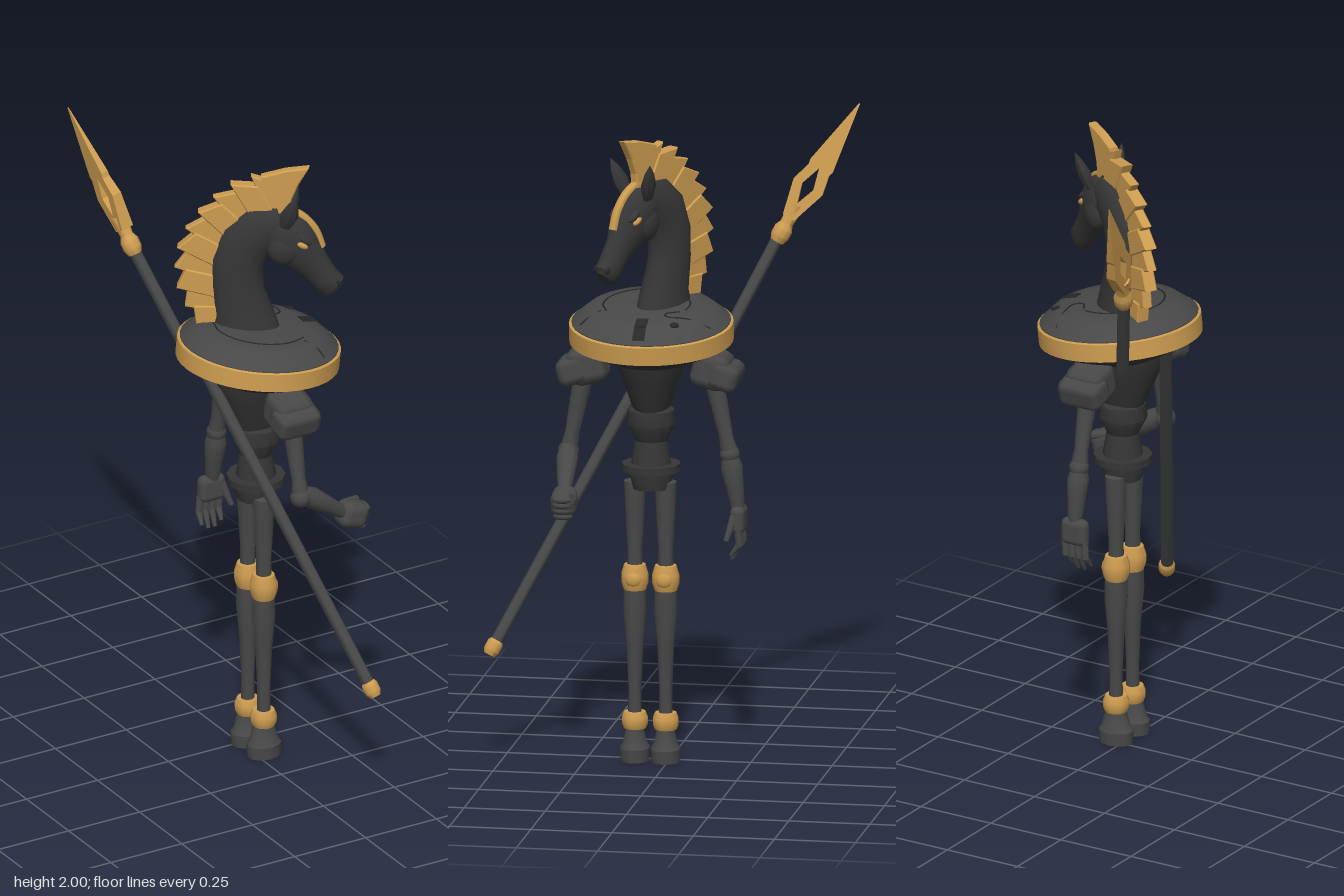
import * as THREE from 'three';
import { toCreasedNormals } from 'three/addons/utils/BufferGeometryUtils.js';
import { RoundedBoxGeometry } from 'three/addons/geometries/RoundedBoxGeometry.js';

const mat = (name, color) => Object.assign(new THREE.MeshStandardMaterial({ color }), { name });
const V = (x, y, z = 0) => new THREE.Vector3(x, y, z);
const UP = V(0, 1, 0);

export function createModel() {
  const grey = mat('charcoal', 0x484848);
  const black = mat('dark charcoal', 0x363636);
  const gold = mat('gold', 0xcd9c50);
  const dark = mat('groove black', 0x282828);
  const model = new THREE.Group();
  model.name = 'horseGuard';

  const add = (parent, name, geo, material, pos = [0, 0, 0], rot = [0, 0, 0], scale = [1, 1, 1]) => {
    const m = new THREE.Mesh(geo, material);
    m.name = name;
    m.position.set(...pos);
    m.rotation.set(...rot);
    m.scale.set(...scale);
    parent.add(m);
    return m;
  };
  const group = (parent, name, pos = [0, 0, 0]) => {
    const g = new THREE.Group();
    g.name = name;
    g.position.set(...pos);
    parent.add(g);
    return g;
  };
  // profile: [radius, y] listed from bottom to top
  const lathe = (profile, sides = 20) =>
    toCreasedNormals(new THREE.LatheGeometry(profile.map(p => new THREE.Vector2(...p)), sides), 0.6);
  // tapered limb between two points; rings are [fraction along, radius]
  const limb = (parent, name, a, b, rings, material = grey, sides = 12) => {
    const A = V(...a), d = V(...b).sub(A), len = d.length();
    const prof = [[0, rings[0][0] * len], ...rings.map(([t, r]) => [r, t * len]), [0, rings.at(-1)[0] * len]];
    const m = add(parent, name, lathe(prof, sides), material, a);
    m.quaternion.setFromUnitVectors(UP, d.normalize());
    return m;
  };
  // loft of ellipses in the local xy plane: [x, y, angle of in-plane axis, in-plane radius, half width]
  const loft = (sections, sides = 16) => {
    const pos = [], idx = [];
    const rings = [[...sections[0].slice(0, 3), 0, 0], ...sections, [...sections.at(-1).slice(0, 3), 0, 0]];
    rings.forEach(([x, y, a, r, w], i) => {
      for (let j = 0; j < sides; j++) {
        const t = j / sides * Math.PI * 2, c = Math.cos(t) * r;
        pos.push(x + Math.cos(a) * c, y + Math.sin(a) * c, Math.sin(t) * w);
        if (i) {
          const k = (j + 1) % sides, p = (i - 1) * sides, q = i * sides;
          idx.push(p + j, q + j, p + k, q + j, q + k, p + k);
        }
      }
    });
    const g = new THREE.BufferGeometry();
    g.setAttribute('position', new THREE.Float32BufferAttribute(pos, 3));
    g.setIndex(idx);
    return toCreasedNormals(g, 0.7);
  };
  const plate = (pts, depth, holes = [], bevel = 0) => {
    const s = new THREE.Shape(pts.map(p => new THREE.Vector2(...p)));
    holes.forEach(h => s.holes.push(new THREE.Path(h.map(p => new THREE.Vector2(...p)))));
    return new THREE.ExtrudeGeometry(s, { depth, bevelEnabled: bevel > 0, bevelSize: bevel, bevelThickness: bevel, bevelSegments: 1 })
      .translate(0, 0, -depth / 2);
  };

  // Legs
  for (const z of [0.103, 0.008]) {
    const leg = group(model, 'leg', [0.025, 0, z]);
    add(leg, 'hoof', lathe([[0, 0], [0.054, 0], [0.056, 0.04], [0.044, 0.058], [0.034, 0.1], [0, 0.1]], 12), grey, [0, 0, 0], [0, 0, 0], [1, 1, 0.82]);
    add(leg, 'ankleBand', lathe([[0, 0.1], [0.034, 0.1], [0.04, 0.115], [0.04, 0.135], [0.033, 0.152], [0, 0.152]], 14), gold);
    add(leg, 'shin', lathe([[0.021, 0.14], [0.02, 0.22], [0.026, 0.36], [0.036, 0.47], [0.034, 0.54]], 14), grey);
    add(leg, 'kneeGuard', lathe([[0, 0.52], [0.032, 0.525], [0.042, 0.555], [0.042, 0.58], [0.033, 0.61], [0, 0.615]], 14), gold);
    add(leg, 'kneeDisc', new THREE.SphereGeometry(0.026, 12, 8), gold, [0.03, 0.568, 0], [0, 0, 0], [0.6, 1, 1]);
    add(leg, 'thigh', lathe([[0.024, 0.6], [0.023, 0.66], [0.029, 0.76], [0.034, 0.87], [0, 0.88]], 14), grey);
  }

  // Torso
  const torso = group(model, 'torso', [0.028, 0, 0.052]);
  add(torso, 'hips', lathe([[0, 0.85], [0.058, 0.85], [0.07, 0.905], [0.07, 0.92], [0, 0.92]], 12), black);
  add(torso, 'belt', lathe([[0, 0.905], [0.09, 0.905], [0.09, 0.928], [0, 0.928]], 12), black);
  add(torso, 'waist', lathe([[0.062, 0.925], [0.06, 0.94], [0.05, 1.0], [0.075, 1.05], [0.071, 1.095], [0.05, 1.105]], 12), black);
  add(torso, 'chest', lathe([[0, 1.08], [0.06, 1.08], [0.08, 1.12], [0.115, 1.2], [0.15, 1.27], [0.16, 1.33]], 16), black, [0, 0, 0], [0, 0, 0], [1, 1, 0.78]);

  // Tilted collar disc
  const collar = group(model, 'collar', [0.037, 1.342, 0.05]);
  collar.rotation.z = -0.11;
  add(collar, 'collarUnderside', lathe([[0, -0.085], [0.13, -0.085], [0.2, -0.052], [0.242, -0.03]], 40), black);
  const dome = [[0.242, -0.03], [0.242, 0.034], [0.232, 0.042], [0.19, 0.076], [0.15, 0.083], [0, 0.085]];
  add(collar, 'collarTop', lathe(dome, 40), grey);
  add(collar, 'collarBand', lathe([[0.24, -0.03], [0.25, -0.028], [0.25, 0.028], [0.24, 0.032]], 40), gold);
  // height of the dome at a given radius
  const domeY = r => {
    const i = dome.findIndex(p => p[0] <= r), [r1, y1] = dome[i], [r0, y0] = dome[Math.max(0, i - 1)];
    return r0 === r1 ? y1 : y1 + (y0 - y1) * (r - r1) / (r0 - r1);
  };
  // grooves drawn on the dome as [x, z] paths
  const arc = (r, a, b) => [0, 1, 2, 3, 4, 5, 6].map(i => a + (b - a) * i / 6).map(t => [r * Math.cos(t), r * Math.sin(t)]);
  for (const path of [arc(0.145, 1.0, 3.6), arc(0.12, 3.7, 5.1), [[0.1, -0.2], [0.11, -0.13], [0.11, -0.07], [0.085, -0.06], [0.06, -0.1]], [[0.07, 0.14], [0.1, 0.18], [0.11, 0.2]]]) {
    const curve = new THREE.CatmullRomCurve3(path.map(([x, z]) => V(x, domeY(Math.hypot(x, z)), z)));
    add(collar, 'collarGroove', new THREE.TubeGeometry(curve, 24, 0.003, 5), dark);
  }
  add(collar, 'collarSlot', new THREE.BoxGeometry(0.05, 0.006, 0.036), dark, [0.166, 0.0795, 0], [0, 0, -0.17]);
  add(collar, 'collarSlotEnd', new THREE.BoxGeometry(0.045, 0.006, 0.036), dark, [0.209, 0.06, 0], [0, 0, -0.68]);
  add(collar, 'collarHole', new THREE.CylinderGeometry(0.014, 0.014, 0.006, 14), dark, [0.16, 0.0755, -0.1], [0, 0, -0.12]);

  // Shoulders: a block against the chest with an outer cap
  for (const [s, z] of [[1, 0.262], [-1, -0.15]]) {
    add(model, 'shoulder', new RoundedBoxGeometry(0.13, 0.115, 0.115, 1, 0.03), grey, [0.026, 1.228, z - s * 0.015], [s * 0.25, 0, 0]);
    add(model, 'shoulderCap', new RoundedBoxGeometry(0.145, 0.085, 0.095, 1, 0.025), grey, [0.026, 1.212, z + s * 0.027], [s * 0.3, 0, 0]);
  }
  // Bent arm with closed hand
  const armRings = [[0, 0.03], [0.3, 0.028], [0.75, 0.022], [1, 0.028]];
  const foreRings = [[0, 0.024], [0.25, 0.034], [0.6, 0.028], [1, 0.02]];
  limb(model, 'frontUpperArm', [0.03, 1.19, 0.26], [0.035, 0.96, 0.305], armRings);
  add(model, 'frontElbow', new THREE.SphereGeometry(0.033, 12, 8), grey, [0.035, 0.955, 0.306]);
  limb(model, 'frontForearm', [0.035, 0.97, 0.306], [0.19, 0.86, 0.292], foreRings);
  const fist = group(model, 'fist', [0.226, 0.842, 0.285]);
  fist.rotation.z = -0.3;
  add(fist, 'palm', new RoundedBoxGeometry(0.095, 0.084, 0.078, 3, 0.03), grey);
  for (let i = 0; i < 4; i++)
    add(fist, 'knuckle', new THREE.SphereGeometry(0.016, 10, 8), grey, [0.036, 0.028 - i * 0.019, 0], [0, 0, 0], [1, 0.8, 2]);
  limb(fist, 'thumb', [-0.02, 0.025, -0.02], [0.03, 0.035, -0.035], [[0, 0.014], [1, 0.012]]);

  // Hanging arm with open hand
  limb(model, 'backUpperArm', [0.03, 1.2, -0.14], [0.033, 0.96, -0.192], armRings);
  add(model, 'backElbow', new THREE.SphereGeometry(0.031, 12, 8), grey, [0.033, 0.965, -0.191]);
  limb(model, 'backForearm', [0.033, 0.97, -0.19], [0.033, 0.79, -0.217], foreRings);
  add(model, 'backPalm', new RoundedBoxGeometry(0.088, 0.085, 0.045, 3, 0.02), grey, [0.03, 0.765, -0.218]);
  for (let i = 0; i < 4; i++) {
    const x = -0.006 + i * 0.023, drop = i === 0 || i === 3 ? 0.015 : 0;
    limb(model, 'finger', [x, 0.74, -0.222], [x - 0.004, 0.685, -0.224], [[0, 0.012], [1, 0.011]], grey, 8);
    limb(model, 'fingertip', [x - 0.004, 0.69, -0.224], [x - 0.008, 0.64 + drop, -0.198], [[0, 0.011], [1, 0.006]], grey, 8);
  }
  limb(model, 'backThumb', [0.06, 0.78, -0.21], [0.084, 0.705, -0.188], [[0, 0.014], [1, 0.008]], grey, 8);

  // Spear: lower and upper shaft, butt, socket and pierced blade
  limb(model, 'lowerShaft', [0.16, 0.36, 0.518], [-0.145, 1.33, 0.02], [[0, 0.019], [1, 0.019]]);
  limb(model, 'spearButt', [0.167, 0.342, 0.527], [0.153, 0.385, 0.505], [[0, 0.018], [0.3, 0.025], [0.8, 0.025], [1, 0.02]], gold);
  limb(model, 'upperShaft', [-0.1, 1.3, -0.155], [-0.203, 1.62, -0.313], [[0, 0.019], [1, 0.019]]);
  limb(model, 'spearSocket', [-0.192, 1.58, -0.295], [-0.218, 1.69, -0.352], [[0, 0.021], [0.15, 0.029], [0.35, 0.029], [0.5, 0.02], [1, 0.026]], gold);
  const base = V(-0.2, 1.62, -0.31), axis = V(-0.288, 2.0, -0.535).sub(base).normalize();
  const normal = V(1, 0, 0).addScaledVector(axis, -axis.x).normalize();
  const bladeGeo = plate(
    [[-0.02, 0.04], [0.02, 0.04], [0.052, 0.15], [0.038, 0.21], [0.042, 0.225], [0.002, 0.447], [-0.002, 0.447], [-0.038, 0.225], [-0.034, 0.21], [-0.05, 0.15]],
    0.044, [[[0, 0.09], [-0.02, 0.15], [0, 0.215], [0.02, 0.15]]]);
  // thin the blade towards its tip
  const bp = bladeGeo.attributes.position;
  for (let i = 0; i < bp.count; i++) bp.setZ(i, bp.getZ(i) * (1.05 - bp.getY(i) / 0.447));
  bladeGeo.computeVertexNormals();
  const blade = add(model, 'spearBlade', bladeGeo, gold, base.toArray());
  blade.quaternion.setFromRotationMatrix(new THREE.Matrix4().makeBasis(axis.clone().cross(normal), axis, normal));

  // Horse head, turned towards the front
  const horse = group(model, 'horse', [0.03, 0, 0.027]);
  horse.rotation.y = -0.55;
  add(horse, 'neck', loft([
    [-0.02, 1.39, 0, 0.112, 0.068], [-0.022, 1.46, 0, 0.092, 0.058], [-0.045, 1.56, -0.03, 0.08, 0.053], [-0.046, 1.64, -0.15, 0.08, 0.052],
    [-0.016, 1.715, -0.5, 0.083, 0.05], [0.035, 1.755, -0.95, 0.082, 0.048], [0.09, 1.77, -1.3, 0.06, 0.04]]), black);
  const H = -2.41; // in-plane axis of the head sections, pointing to the jaw
  add(horse, 'head', loft([
    [0.25, 1.543, H, 0.034, 0.022], [0.243, 1.555, H, 0.046, 0.034], [0.218, 1.586, H, 0.045, 0.036], [0.185, 1.63, H, 0.052, 0.036],
    [0.145, 1.68, H, 0.073, 0.05], [0.105, 1.725, H, 0.086, 0.056], [0.075, 1.76, H, 0.072, 0.048], [0.06, 1.79, H, 0.03, 0.025]].reverse()), black);
  for (const s of [1, -1]) {
    const ear = limb(horse, 'ear', [0.1, 1.775, s * 0.042], [0.133, 1.888, s * 0.08], [[0, 0.018], [0.4, 0.028], [0.75, 0.017], [1, 0.001]], black, 8);
    ear.scale.z = 0.7;
    add(horse, 'cheek', new THREE.SphereGeometry(0.05, 14, 10), black, [0.095, 1.695, s * 0.03], [0, 0, 0], [1, 1.1, 0.6]);
    add(horse, 'browRidge', new THREE.SphereGeometry(0.02, 10, 8), black, [0.158, 1.73, s * 0.038], [0, 0, -0.7], [1.4, 0.6, 0.7]);
    add(horse, 'eye', new THREE.SphereGeometry(0.014, 10, 8), gold, [0.152, 1.714, s * 0.046], [0, 0, -0.5], [1.4, 0.7, 0.7]);
    add(horse, 'nostril', new THREE.SphereGeometry(0.01, 8, 6), dark, [0.262, 1.575, s * 0.024], [0, 0, -0.8], [1.3, 0.8, 0.6]);
  }
  const forelock = new THREE.CatmullRomCurve3([V(0.1, 1.82), V(0.155, 1.79), V(0.193, 1.745), V(0.213, 1.69)]);
  add(horse, 'forelock', new THREE.TubeGeometry(forelock, 12, 0.011, 6), gold, [0, 0, 0], [0, 0, 0], [1, 1, 1.5]);

  // Mane: a tall crest followed by overlapping blades down the neck
  const inner = new THREE.CatmullRomCurve3([V(0.1, 1.81), V(0.01, 1.8), V(-0.06, 1.75), V(-0.105, 1.67), V(-0.11, 1.57), V(-0.1, 1.42)]);
  const outer = new THREE.CatmullRomCurve3([V(0.07, 1.925), V(-0.03, 1.905), V(-0.125, 1.83), V(-0.2, 1.72), V(-0.22, 1.61), V(-0.205, 1.52), V(-0.16, 1.43)]);
  const xy = v => [v.x, v.y];
  add(horse, 'maneCrest', plate([[0.11, 1.8], [0.115, 1.85], [0.135, 1.9], [0.168, 1.955], [0.1, 1.945], [0.03, 1.925], [0.03, 1.79]], 0.022, [], 0.004), gold);
  const blades = 10;
  for (let i = 0; i < blades; i++) {
    const t0 = i / blades, t1 = (i + 1) / blades;
    const a = inner.getPointAt(Math.max(0, t0 - 0.03)), d = inner.getPointAt(t1);
    const b = outer.getPointAt(t0).lerp(a, 0.2), c = outer.getPointAt(t1).lerp(d, -0.1);
    const e = outer.getPointAt(t1).lerp(d, 0.4);
    add(horse, 'maneBlade', plate([a, b, c, e, d].map(xy), 0.022 + (i % 2) * 0.01, [], 0.004), gold);
  }
  return model;
}
